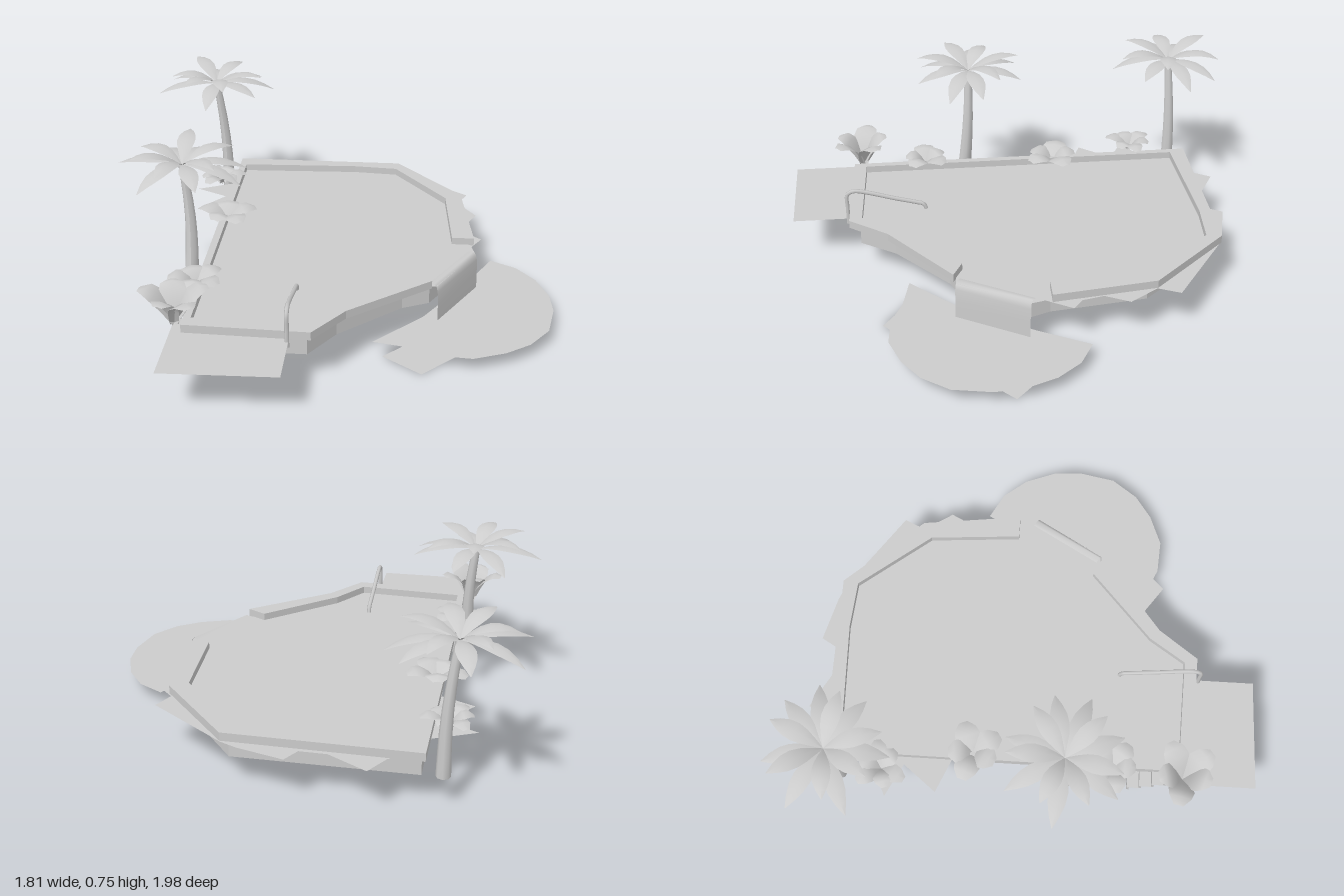
import * as THREE from 'three';

const mat = new THREE.MeshStandardMaterial({ color: 0xcccccc, side: THREE.DoubleSide });
const flat = new THREE.MeshStandardMaterial({ color: 0xcccccc, side: THREE.DoubleSide, flatShading: true });

function add(parent, name, geo, material = flat) {
  const m = new THREE.Mesh(geo, material);
  m.name = name;
  parent.add(m);
  return m;
}

// Shape from [x, z] points, to be laid flat
const outline = pts => new THREE.Shape(pts.map(([x, z]) => new THREE.Vector2(x, -z)));

function sheet(parent, name, pts, y) {
  add(parent, name, new THREE.ShapeGeometry(outline(pts)).rotateX(-Math.PI / 2)).position.y = y;
}

function slab(parent, name, pts, y, h) {
  const geo = new THREE.ExtrudeGeometry(outline(pts), { depth: h, bevelEnabled: false });
  add(parent, name, geo.rotateX(-Math.PI / 2)).position.y = y;
}

// Arched leaf along +x, folded along its midrib; blunt sets the width left at both ends
function leafGeometry({ len, width, rise, droop, fold, blunt }, rows = 6) {
  const pos = [], idx = [];
  for (let i = 0; i <= rows; i++) {
    const t = i / rows;
    const w = width * 0.5 * (blunt + (1 - blunt) * Math.sin(Math.PI * Math.pow(t, 1.1)));
    const y = rise * t - droop * t * t;
    for (const s of [-1, 0, 1]) pos.push(len * t, y - Math.abs(s) * w * fold, s * w);
    if (i) for (const k of [0, 1]) {
      const a = (i - 1) * 3 + k, b = a + 3;
      idx.push(a, a + 1, b, b, a + 1, b + 1);
    }
  }
  const g = new THREE.BufferGeometry();
  g.setAttribute('position', new THREE.Float32BufferAttribute(pos, 3));
  g.setIndex(idx);
  g.computeVertexNormals();
  return g;
}

function palm(name, base, top, turn) {
  const g = new THREE.Group();
  g.name = name;
  const a = new THREE.Vector3(...base), b = new THREE.Vector3(...top);
  // Tapered, gently curved trunk
  const trunk = new THREE.CylinderGeometry(0.016, 0.029, 1, 8, 6);
  const p = trunk.attributes.position;
  for (let i = 0; i < p.count; i++) {
    const t = p.getY(i) + 0.5, c = a.clone().lerp(b, t);
    const bend = 0.012 * Math.sin(Math.PI * t);
    p.setXYZ(i, p.getX(i) + c.x + bend, c.y, p.getZ(i) + c.z - bend * 0.5);
  }
  trunk.computeVertexNormals();
  add(g, 'trunk', trunk, mat);
  // Fronds alternate between long drooping and shorter raised ones
  const crown = new THREE.Group();
  crown.name = 'crown';
  crown.position.copy(b);
  for (let i = 0; i < 13; i++) {
    const raised = i % 2;
    const f = add(crown, 'frond', leafGeometry({
      len: (raised ? 0.22 : 0.26) + 0.015 * Math.sin(i * 2.3),
      width: 0.075,
      rise: raised ? 0.2 : 0.11,
      droop: (raised ? 0.15 : 0.135) + 0.015 * Math.sin(i * 1.7),
      fold: 0.2,
      blunt: 0.04,
    }), mat);
    f.rotation.y = turn + i * Math.PI * 2 / 13 + 0.1 * Math.sin(i * 4);
  }
  g.add(crown);
  return g;
}

function plant(name, x, z, { n = 5, turn = 0, ...leaf }) {
  const g = new THREE.Group();
  g.name = name;
  g.position.set(x, 0.24, z);
  for (let i = 0; i < n; i++) {
    const size = { len: 0.115, width: 0.1, rise: 0.17, droop: 0.13, fold: 0.2, blunt: 0.35, ...leaf };
    size.len *= i % 2 ? 0.8 : 1;
    const l = add(g, 'leaf', leafGeometry(size, 4), mat);
    l.rotation.y = turn + i * Math.PI * 2 / n + 0.25 * Math.sin(i * 3);
  }
  return g;
}

export function createModel() {
  const model = new THREE.Group();

  // Pool body, water and raised rim left open at the spillway
  slab(model, 'poolBasin', [[-0.54, -0.76], [0.19, -0.77], [0.45, -0.46], [0.5, -0.06], [0.53, 0.02],
    [0.38, 0.28], [0.27, 0.33], [0.02, 0.55], [-0.08, 0.7], [-0.54, 0.7]], 0.127, 0.094);
  sheet(model, 'water', [[-0.54, -0.77], [0.2, -0.78], [0.48, -0.46], [0.55, -0.06], [0.57, 0.02],
    [0.41, 0.31], [0.34, 0.31], [0.04, 0.55], [-0.07, 0.71], [-0.54, 0.7]], 0.224);
  slab(model, 'rim', [[0.565, -0.06], [0.51, -0.49], [0.21, -0.82], [-0.56, -0.82], [-0.56, 0.73],
    [-0.06, 0.745], [0.06, 0.58], [0.39, 0.32], [0.31, 0.28], [0.02, 0.54], [-0.08, 0.69], [-0.53, 0.675],
    [-0.53, -0.75], [0, -0.77], [0.2, -0.755], [0.44, -0.45], [0.47, -0.06]], 0.22, 0.035);

  // Ragged ground around the basin
  sheet(model, 'groundEdge', [[-0.54, -0.75], [-0.42, -0.81], [-0.36, -0.91], [-0.2, -0.82], [-0.09, -0.82],
    [-0.05, -0.89], [0.14, -0.84], [0.21, -0.81], [0.54, -0.58], [0.5, -0.49], [0.58, -0.37], [0.53, -0.27],
    [0.55, -0.18], [0.6, -0.14], [0.5, 0.03], [0, 0.4], [-0.54, 0.4], [-0.56, -0.28], [-0.7, -0.34],
    [-0.59, -0.48], [-0.73, -0.55], [-0.56, -0.63]], 0.21);

  // Lower pool with its ground below
  sheet(model, 'lowerPool', [[0.65, -0.21], [0.76, -0.15], [0.84, -0.05], [0.89, 0.08], [0.9, 0.2], [0.87, 0.36],
    [0.79, 0.47], [0.69, 0.54], [0.56, 0.59], [0.42, 0.58], [0.31, 0.53], [0.16, 0.5],
    [0.36, 0.29], [0.54, 0]], 0.067);
  sheet(model, 'lowerGround', [[0.2, 0.5], [0.36, 0.615], [0.87, 0.11], [0.63, -0.12],
    [0.54, 0.02], [0.4, 0.3]], 0);

  // Waterfall: a lip that curls over and drops
  const profile = [[-0.03, 0.226], [-0.005, 0.232], [0.008, 0.222], [0.014, 0.2], [0.017, 0.14], [0.018, 0.065]];
  const fall = new THREE.PlaneGeometry(1, 1, 1, profile.length - 1);
  const fp = fall.attributes.position;
  for (let i = 0; i < fp.count; i++) {
    const [out, y] = profile[Math.floor(i / 2)], s = i % 2;
    fp.setXYZ(i, 0.402 + 0.164 * s + out * 0.86, y, 0.308 - 0.288 * s + out * 0.51);
  }
  fall.computeVertexNormals();
  add(model, 'waterfall', fall, mat);

  // Steps leading down into the pool
  const steps = new THREE.Group();
  steps.name = 'steps';
  const levels = [0.215, 0.17, 0.13, 0.093, 0.057];
  sheet(steps, 'landing', [[-0.605, 0.625], [-0.145, 0.625], [-0.145, 0.99], [-0.605, 1]], levels[0]);
  for (let i = 0; i < 4; i++) {
    const z = 0.625 - i * 0.05, h = levels[i] - levels[i + 1];
    const riser = add(steps, 'riser', new THREE.BoxGeometry(0.46, h, 0.01));
    riser.position.set(-0.375, levels[i] - h / 2, z);
    if (i < 3) sheet(steps, 'tread', [[-0.605, z - 0.05], [-0.145, z - 0.05], [-0.145, z], [-0.605, z]], levels[i + 1]);
  }
  model.add(steps);

  // Handrail beside the steps
  const rail = new THREE.CatmullRomCurve3([[0.19, 0.752], [0.27, 0.752], [0.335, 0.749], [0.349, 0.72], [0.338, 0.66],
    [0.305, 0.55], [0.278, 0.45], [0.268, 0.42], [0.245, 0.412]]
    .map(([y, z]) => new THREE.Vector3(-0.15, y, z)));
  add(model, 'handrail', new THREE.TubeGeometry(rail, 28, 0.009, 6), mat);

  // Palms and low planting along one side
  model.add(
    palm('frontPalm', [-0.615, 0.22, 0.215], [-0.635, 0.672, 0.19], 0.2),
    palm('backPalm', [-0.62, 0.13, -0.755], [-0.655, 0.675, -0.74], 0.75),
    plant('tallPlant', -0.59, 0.69, { len: 0.14, width: 0.11, rise: 0.34, droop: 0.21, turn: 0.5 }),
    plant('lowPlant', -0.56, 0.4, { turn: 0.8 }),
    plant('lowPlant', -0.53, -0.19, { len: 0.13, width: 0.11, turn: 0.4 }),
    plant('lowPlant', -0.62, -0.57, { n: 6, width: 0.08, turn: 0.2 }),
  );
  return model;
}
